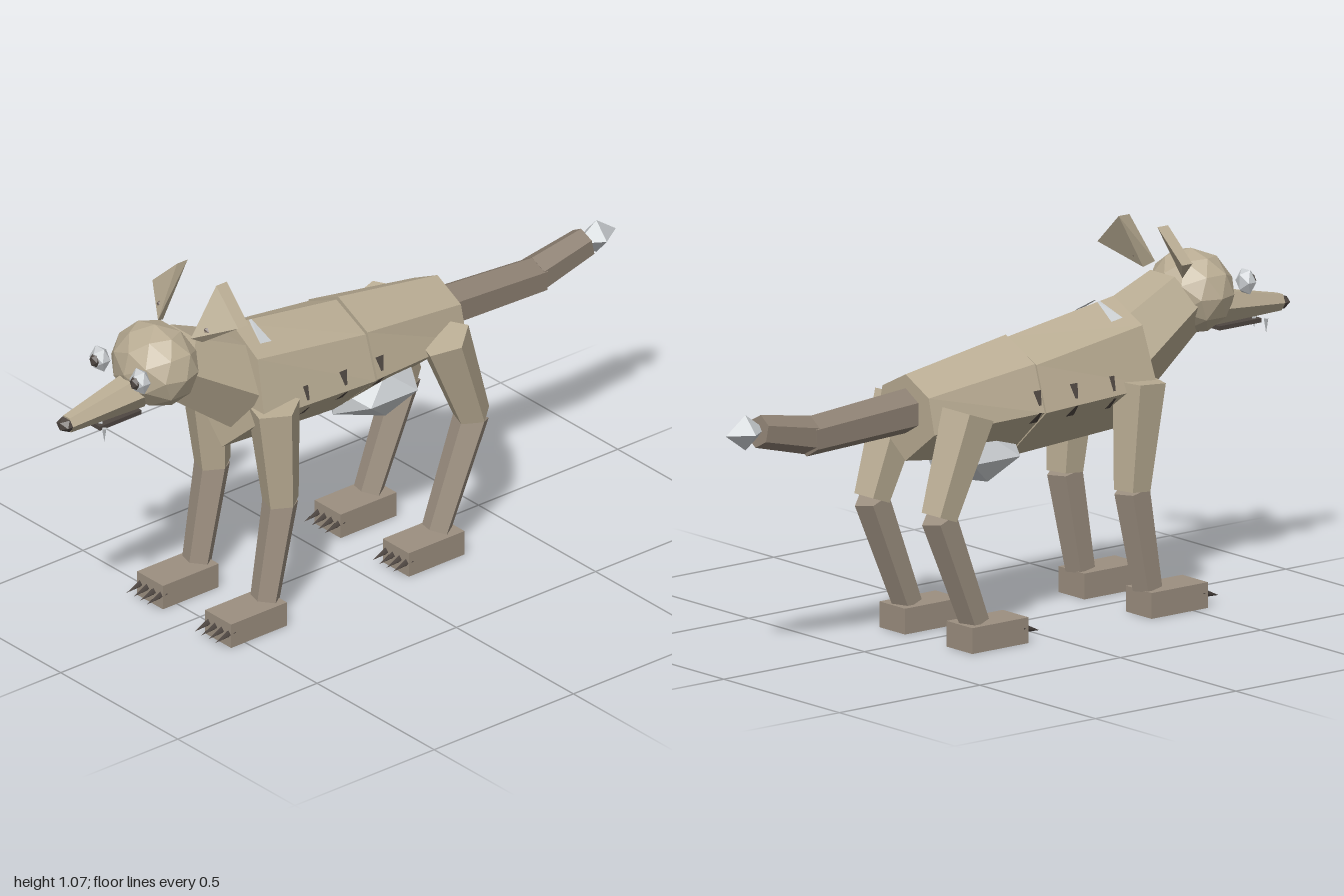
import * as THREE from 'three';
import { ConvexGeometry } from 'three/addons/geometries/ConvexGeometry.js';

const mat = (name, color, side = THREE.FrontSide) => {
  const m = new THREE.MeshStandardMaterial({ color, side });
  m.name = name;
  return m;
};
const V = (x, y, z) => new THREE.Vector3(x, y, z);

// regular polygon profile, first corner at the given angle
const polygon = (n, start) => Array.from({ length: n }, (_, i) => {
  const a = start + (i * 2 * Math.PI) / n;
  return [Math.cos(a), Math.sin(a)];
});

// flat-faced geometry from triangles of points
function facets(tris) {
  const g = new THREE.BufferGeometry().setFromPoints(tris);
  g.computeVertexNormals();
  return g;
}

// capped solid between two rings, each counter-clockwise as seen from ring b
function loft(a, b) {
  const t = [], n = a.length;
  for (let i = 0; i < n; i++) {
    const j = (i + 1) % n;
    t.push(a[i], a[j], b[j], a[i], b[j], b[i]);
    if (i > 0 && i < n - 1) t.push(a[0], a[j], a[i], b[0], b[i], b[j]);
  }
  return facets(t);
}

// tapered limb from a to b, both lying in one yz plane
function limb(a, b, ra, rb, profile) {
  const d = b.clone().sub(a).normalize(), v = d.clone().cross(V(1, 0, 0));
  const ring = (c, r) => profile.map(([p, q]) => V(c.x + p * r, c.y, c.z).addScaledVector(v, q * r));
  return loft(ring(a, ra), ring(b, rb));
}

export function createModel() {
  const root = new THREE.Group();
  root.name = 'animal';
  root.position.x = -0.0085;
  const fur = mat('tan fur', 0xb9ac93);
  const darkFur = mat('brown fur', 0x9c8f80);
  const tailFur = mat('tail fur', 0x8d8072);
  const pale = mat('pale grey', 0xc9cdd0, THREE.DoubleSide);
  const dark = mat('dark brown', 0x4f4742, THREE.DoubleSide);
  const earInside = mat('ear inside', 0x786b63);

  const add = (name, geo, m, p = V(0, 0, 0), s = V(1, 1, 1)) => {
    const mesh = new THREE.Mesh(geo, m);
    mesh.name = name;
    mesh.position.copy(p);
    mesh.scale.copy(s);
    root.add(mesh);
    return mesh;
  };
  const ball = (detail) => {
    const g = new THREE.IcosahedronGeometry(1, detail);
    g.computeVertexNormals();
    return g;
  };
  const penta = polygon(5, 0), hexFlat = polygon(6, 0), hexPoint = polygon(6, Math.PI / 6);

  // torso: ridge on the back, keel below
  const section = (z, lean, top, upperX, upperY, midX, midY, low) => [
    [midX, midY], [upperX, upperY], [0, top], [-upperX, upperY], [-midX, midY], [0, low],
  ].map(([x, y]) => V(x, y, z + (midY - y) * lean));
  add('chest', loft(
    section(0.003, 0, 0.815, 0.125, 0.758, 0.168, 0.63, 0.475),
    section(0.40, 0.09, 0.872, 0.118, 0.81, 0.165, 0.645, 0.498)), fur);
  add('hindBody', loft(
    section(-0.36, 0, 0.765, 0.10, 0.715, 0.125, 0.615, 0.52),
    section(-0.003, 0, 0.822, 0.125, 0.762, 0.168, 0.632, 0.474)), fur);
  add('belly', ball(0), pale, V(0, 0.502, -0.12), V(0.12, 0.078, 0.16));

  // neck and head
  add('neck', limb(V(0, 0.70, 0.38), V(0, 0.83, 0.60), 0.138, 0.105, hexFlat), fur);
  add('head', ball(1), fur, V(0, 0.845, 0.655), V(0.137, 0.12, 0.112));
  add('snout', limb(V(0, 0.79, 0.72), V(0, 0.764, 0.97), 0.056, 0.026, hexFlat), fur);
  add('nose', ball(0), dark, V(0, 0.764, 0.974), V(0.03, 0.021, 0.026));
  add('jaw', new THREE.BoxGeometry(0.066, 0.012, 0.15), dark, V(0, 0.731, 0.805));

  for (const s of [-1, 1]) {
    // eyes
    add('eye', ball(0), pale, V(s * 0.086, 0.867, 0.78), V(0.034, 0.04, 0.026));
    add('pupil', ball(0), dark, V(s * 0.086, 0.867, 0.794), V(0.019, 0.024, 0.019));

    // ears: narrow root opening outward
    add('ear', new ConvexGeometry([
      V(s * 0.07, 0.925, 0.585), V(s * 0.085, 0.91, 0.555),
      V(s * 0.0835, 1.068, 0.505), V(s * 0.0835, 1.068, 0.467),
      V(s * 0.183, 0.977, 0.51), V(s * 0.183, 0.977, 0.473),
    ]), fur);
    add('earInside', ball(0), earInside, V(s * 0.099, 0.95, 0.545), V(0.015, 0.016, 0.018));

    // teeth
    for (const [x, z, len] of [[0.052, 0.88, 0.042], [0.018, 0.865, 0.03]]) {
      add('tooth', new THREE.ConeGeometry(0.008, len, 4).toNonIndexed(), pale, V(s * x, 0.74 - len / 2, z))
        .rotation.x = Math.PI;
    }

    // legs, paws and claws
    const x = s * 0.1455;
    const legs = [
      ['front', [0.665, 0.35], [0.36, 0.325], [0.075, 0.38], 0.45],
      ['hind', [0.665, -0.26], [0.388, -0.362], [0.075, -0.235], -0.188],
    ];
    for (const [name, hip, knee, ankle, pawZ] of legs) {
      const [h, k, a] = [hip, knee, ankle].map(([y, z]) => V(x, y, z));
      add(name + 'UpperLeg', limb(h, k, 0.077, 0.053, penta), fur);
      add(name + 'LowerLeg', limb(k, a, 0.052, 0.043, penta), darkFur);
      add(name + 'Paw', new THREE.BoxGeometry(0.111, 0.073, 0.2), darkFur, V(x, 0.0365, pawZ));
      for (let i = 0; i < 4; i++) {
        add(name + 'Claw', new THREE.ConeGeometry(0.014, 0.065, 4).toNonIndexed(), dark,
          V(x + (i - 1.5) * 0.029, 0.035, pawZ + 0.116)).rotation.x = Math.PI / 2 + 0.25;
      }
    }

    // flank stripes, pinched at the widest edge of the body
    for (const [z, w] of [[0.245, 0.009], [0.11, 0.014], [-0.02, 0.014]]) {
      const stripe = (y0, x0, y1, x1, width) => {
        const p = [V(s * x0, y0, z - 0.004), V(s * x0, y0, z + 0.004),
          V(s * x1, y1, z + width), V(s * x1, y1, z - width)];
        return facets([p[0], p[1], p[2], p[0], p[2], p[3]]);
      };
      add('upperStripe', stripe(0.655, 0.169, 0.695, 0.156, w), dark);
      add('lowerStripe', stripe(0.635, 0.172, 0.60, 0.138, w), dark);
    }

    // pale mark across the back
    const m = [V(s * 0.008, 0.861, 0.315), V(s * 0.008, 0.861, 0.325),
      V(s * 0.082, 0.825, 0.345), V(s * 0.082, 0.819, 0.305)];
    m.forEach((p) => { p.y += 0.006; });
    add('backMark', facets([m[0], m[1], m[2], m[0], m[2], m[3]]), pale);
  }

  // tail, bending upward to a pale tip
  add('tailBase', limb(V(0, 0.643, -0.715), V(0, 0.663, -0.34), 0.056, 0.064, hexPoint), tailFur);
  add('tailEnd', limb(V(0, 0.685, -0.885), V(0, 0.648, -0.71), 0.046, 0.054, hexPoint), tailFur);
  add('tailTip', new THREE.OctahedronGeometry(1, 0), pale, V(0, 0.688, -0.93), V(0.045, 0.05, 0.07));
  return root;
}
